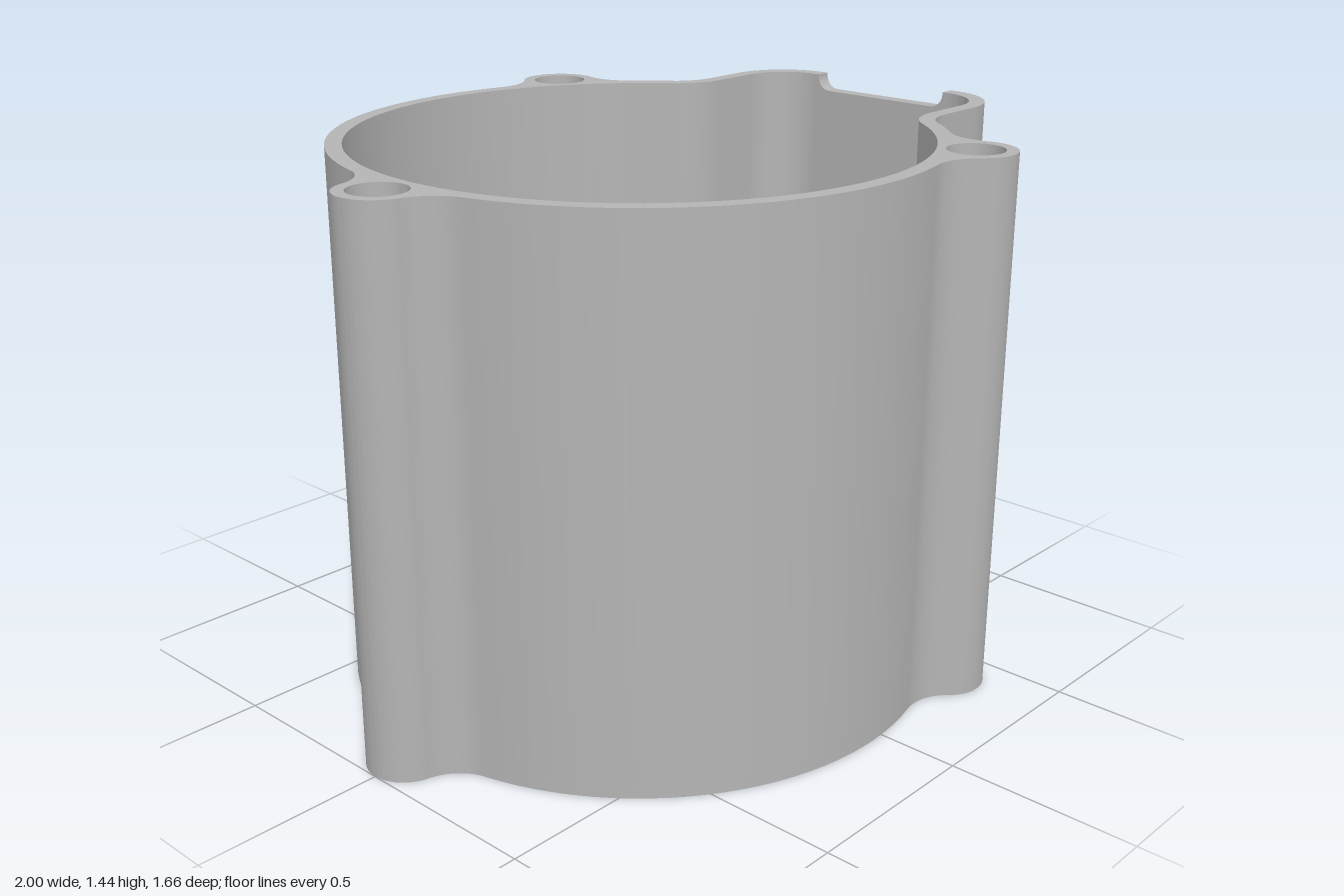
import * as THREE from 'three';
import { toCreasedNormals } from 'three/addons/utils/BufferGeometryUtils.js';

const HEIGHT = 1.44, FLOOR = 0.04, WALL = 0.043;
const CX = -0.057, R = 0.786;            // main barrel
const BOSS_D = 0.838, BOSS_R = 0.104, HOLE_R = 0.073;
const BOX_Z = 0.417, CORNER = 0.18;      // side box
const FLAT = BOX_Z - CORNER;             // half width of the flat end wall
const BOSS_ANGLES = [Math.PI / 3, Math.PI, -Math.PI / 3];

// Points along an arc; a1 < a0 runs clockwise
function arc(x, y, r, a0, a1) {
  const n = Math.max(6, Math.ceil(Math.abs(a1 - a0) / 0.06));
  return Array.from({ length: n + 1 }, (_, i) => {
    const a = a0 + (a1 - a0) * i / n;
    return new THREE.Vector2(x + r * Math.cos(a), y + r * Math.sin(a));
  });
}

// Joins runs of points, dropping repeated ones
function join(...runs) {
  return runs.flat().filter((p, i, all) => i === 0 || p.distanceTo(all[i - 1]) > 1e-4);
}

const mirror = (points) => points.map((p) => new THREE.Vector2(p.x, -p.y)).reverse();

// Fillet that blends the box into the barrel
const BF = 0.134;
const bfY = BOX_Z + BF;
const bfX = CX + Math.sqrt((R + BF) ** 2 - bfY ** 2);
const bfAngle = Math.atan2(bfY, bfX - CX);

// Box corner and neck, shrunk inwards by the inset t
function boxSide(t) {
  return join(
    arc(1 - CORNER, FLAT, CORNER - t, 0, Math.PI / 2),
    arc(bfX, bfY, BF + t, -Math.PI / 2, bfAngle - Math.PI),
  );
}

// Screw boss with a fillet on either side, at an angle around the barrel
const F = 0.13;
const spread = Math.acos((BOSS_D ** 2 + (R + F) ** 2 - (BOSS_R + F) ** 2) / (2 * BOSS_D * (R + F)));
function boss(t) {
  const fx = (R + F) * Math.cos(spread), fy = -(R + F) * Math.sin(spread);
  const toBoss = Math.atan2(-fy, BOSS_D - fx);
  const first = arc(fx, fy, F, Math.PI - spread, toBoss);
  const tip = arc(BOSS_D, 0, BOSS_R, toBoss - Math.PI, Math.PI - toBoss);
  return join(first, tip, mirror(first)).map((p) =>
    p.rotateAround(new THREE.Vector2(), t).add(new THREE.Vector2(CX, 0)));
}

// Outer outline, from one end of the flat wall around to the other
function outerOutline() {
  const [a, b] = BOSS_ANGLES;
  const half = join(
    boxSide(0),
    arc(CX, 0, R, bfAngle, a - spread),
    boss(a),
    arc(CX, 0, R, a + spread, b - spread),
  );
  return join(half, boss(b), mirror(half));
}

function innerOutline() {
  const side = boxSide(WALL);
  return join(side, arc(CX, 0, R - WALL, bfAngle, 2 * Math.PI - bfAngle), mirror(side));
}

// Upright extrusion from y0 to y1
function upright(shape, y0, y1) {
  const g = new THREE.ExtrudeGeometry(shape, { depth: y1 - y0, bevelEnabled: false, curveSegments: 24 });
  g.rotateX(-Math.PI / 2).translate(0, y0, 0);
  return toCreasedNormals(g, 0.6);
}

export function createModel() {
  const group = new THREE.Group();
  const grey = new THREE.MeshStandardMaterial({ color: 0xb4b4b4 });
  grey.name = 'light grey';
  const add = (name, geometry) => {
    const mesh = new THREE.Mesh(geometry, grey);
    mesh.name = name;
    group.add(mesh);
  };
  const outer = outerOutline(), inner = innerOutline();

  // Closed bottom
  add('base', upright(new THREE.Shape(outer), 0, FLOOR));

  // Wall around the cavity, open at the flat end, with screw holes
  const wall = new THREE.Shape([...outer, ...inner.slice().reverse()]);
  for (const t of BOSS_ANGLES) {
    const hole = new THREE.Path();
    hole.absarc(CX + BOSS_D * Math.cos(t), BOSS_D * Math.sin(t), HOLE_R, 0, Math.PI * 2, true);
    wall.holes.push(hole);
  }
  add('wall', upright(wall, FLOOR, HEIGHT));

  // Slightly raised floor towards the box
  const stepX = 0.355;
  const stepZ = Math.sqrt((R - WALL) ** 2 - (stepX - CX) ** 2);
  const step = [
    ...inner.filter((p) => p.x > stepX && p.y > 0),
    new THREE.Vector2(stepX, stepZ),
    new THREE.Vector2(stepX, -stepZ),
    ...inner.filter((p) => p.x > stepX && p.y < 0),
  ];
  add('floorStep', upright(new THREE.Shape(step), FLOOR, FLOOR + 0.04));

  // Flat end wall with a shallow round-cornered notch in its rim
  const notch = 0.222, depth = 0.045, r = 0.04;
  const end = new THREE.Shape();
  end.moveTo(-FLAT, FLOOR);
  end.lineTo(FLAT, FLOOR);
  end.lineTo(FLAT, HEIGHT);
  end.lineTo(notch, HEIGHT);
  end.lineTo(notch, HEIGHT - depth + r);
  end.absarc(notch - r, HEIGHT - depth + r, r, 0, -Math.PI / 2, true);
  end.lineTo(-notch + r, HEIGHT - depth);
  end.absarc(-notch + r, HEIGHT - depth + r, r, -Math.PI / 2, -Math.PI, true);
  end.lineTo(-notch, HEIGHT);
  end.lineTo(-FLAT, HEIGHT);
  const endGeometry = new THREE.ExtrudeGeometry(end, { depth: WALL, bevelEnabled: false, curveSegments: 10 });
  endGeometry.rotateY(Math.PI / 2).translate(1 - WALL, 0, 0);
  add('notchedEndWall', toCreasedNormals(endGeometry, 0.6));

  return group;
}
